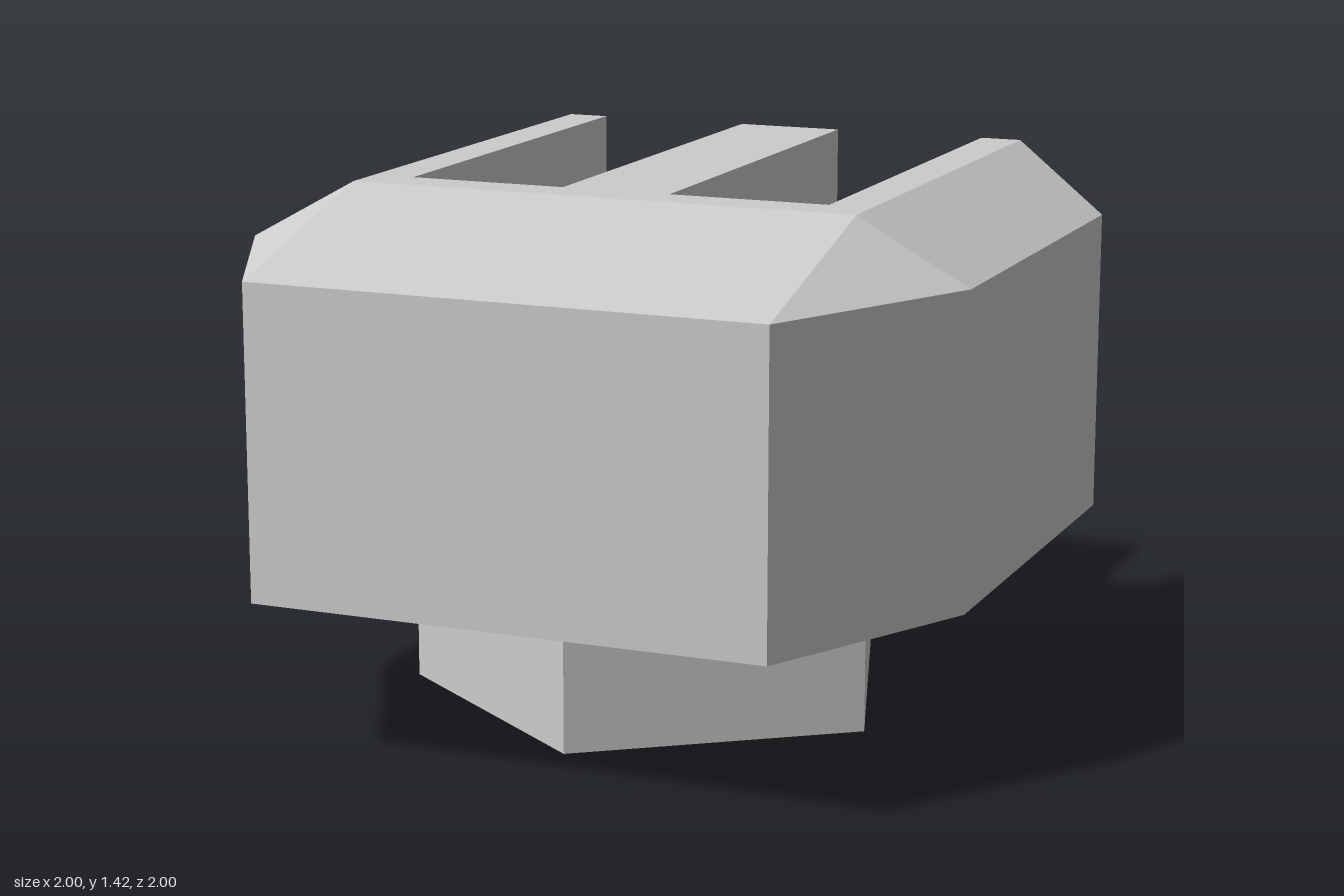
import * as THREE from 'three';
import { mergeGeometries } from 'three/addons/utils/BufferGeometryUtils.js';

// Heights: body underside, slot floor, chamfer edge, top
const B = 0.425, F = 0.765, E = 1.255, T = 1.42;
// Slot extent in x and its closed end in z
const X0 = 0.15, X1 = 0.585, SLOT_END = 0.28;

// Convex polygon, corners counter-clockwise seen from outside
function face(points) {
  const pos = [];
  for (let i = 1; i < points.length - 1; i++) pos.push(...points[0], ...points[i], ...points[i + 1]);
  const g = new THREE.BufferGeometry();
  g.setAttribute('position', new THREE.Float32BufferAttribute(pos, 3));
  g.computeVertexNormals();
  return g;
}

// A face and its mirror image across x = 0
function pair(points) {
  return [face(points), face(points.map(([x, y, z]) => [-x, y, z]).reverse())];
}

// Flat comb outline with two notches open at the top edge
function comb(bottom, floor, top) {
  const half = [[0.7, bottom], [0.7, top], [X1, top], [X1, floor], [X0, floor], [X0, top]];
  const outline = [...half, ...half.map(([x, y]) => [-x, y]).reverse()];
  const g = new THREE.ShapeGeometry(
    new THREE.Shape(outline.map(([x, y]) => new THREE.Vector2(x, y)))).toNonIndexed();
  g.deleteAttribute('uv');
  return g;
}

function bodyGeometry() {
  const outline = [[-0.7, 1], [0.7, 1], [1, 0.4], [1, -0.8], [0.7, -1], [-0.7, -1], [-1, -0.8], [-1, 0.4]];
  return mergeGeometries([
    // underside, front wall and front slope
    face(outline.map(([x, z]) => [x, B, z]).reverse()),
    face([[-0.7, B, 1], [0.7, B, 1], [0.7, E, 1], [-0.7, E, 1]]),
    face([[-0.7, E, 1], [0.7, E, 1], [0.7, T, 0.4], [-0.7, T, 0.4]]),
    // notched top and back
    comb(-0.4, -SLOT_END, 1).rotateX(-Math.PI / 2).translate(0, T, 0),
    comb(B, F, T).rotateY(Math.PI).translate(0, 0, -1),
    // corner and side walls
    ...pair([[0.7, B, 1], [1, B, 0.4], [1, E, 0.4], [0.7, E, 1]]),
    ...pair([[1, B, 0.4], [1, B, -0.8], [1, E, -0.8], [1, E, 0.4]]),
    ...pair([[1, B, -0.8], [0.7, B, -1], [0.7, T, -1], [1, E, -0.8]]),
    // corner and side slopes
    ...pair([[0.7, E, 1], [1, E, 0.4], [0.7, T, 0.4]]),
    ...pair([[1, E, 0.4], [1, E, -0.8], [0.7, T, -1], [0.7, T, 0.4]]),
    // slot walls, end and floor
    ...pair([[X0, F, SLOT_END], [X0, F, -1], [X0, T, -1], [X0, T, SLOT_END]]),
    ...pair([[X1, F, -1], [X1, F, SLOT_END], [X1, T, SLOT_END], [X1, T, -1]]),
    ...pair([[X1, F, SLOT_END], [X0, F, SLOT_END], [X0, T, SLOT_END], [X1, T, SLOT_END]]),
    ...pair([[X0, F, SLOT_END], [X1, F, SLOT_END], [X1, F, -1], [X0, F, -1]]),
  ]);
}

export function createModel() {
  const group = new THREE.Group();
  const material = new THREE.MeshStandardMaterial({ color: 0xcccccc, flatShading: true });

  // Chamfered eight-sided block with two slots open to the back
  const body = new THREE.Mesh(bodyGeometry(), material);
  body.name = 'slottedBody';

  // Five-sided foot with one corner to the front
  const foot = new THREE.Mesh(new THREE.CylinderGeometry(0.689, 0.689, B, 5), material);
  foot.name = 'pentagonalFoot';
  foot.position.set(0, B / 2, -0.059);

  group.add(body, foot);
  return group;
}
